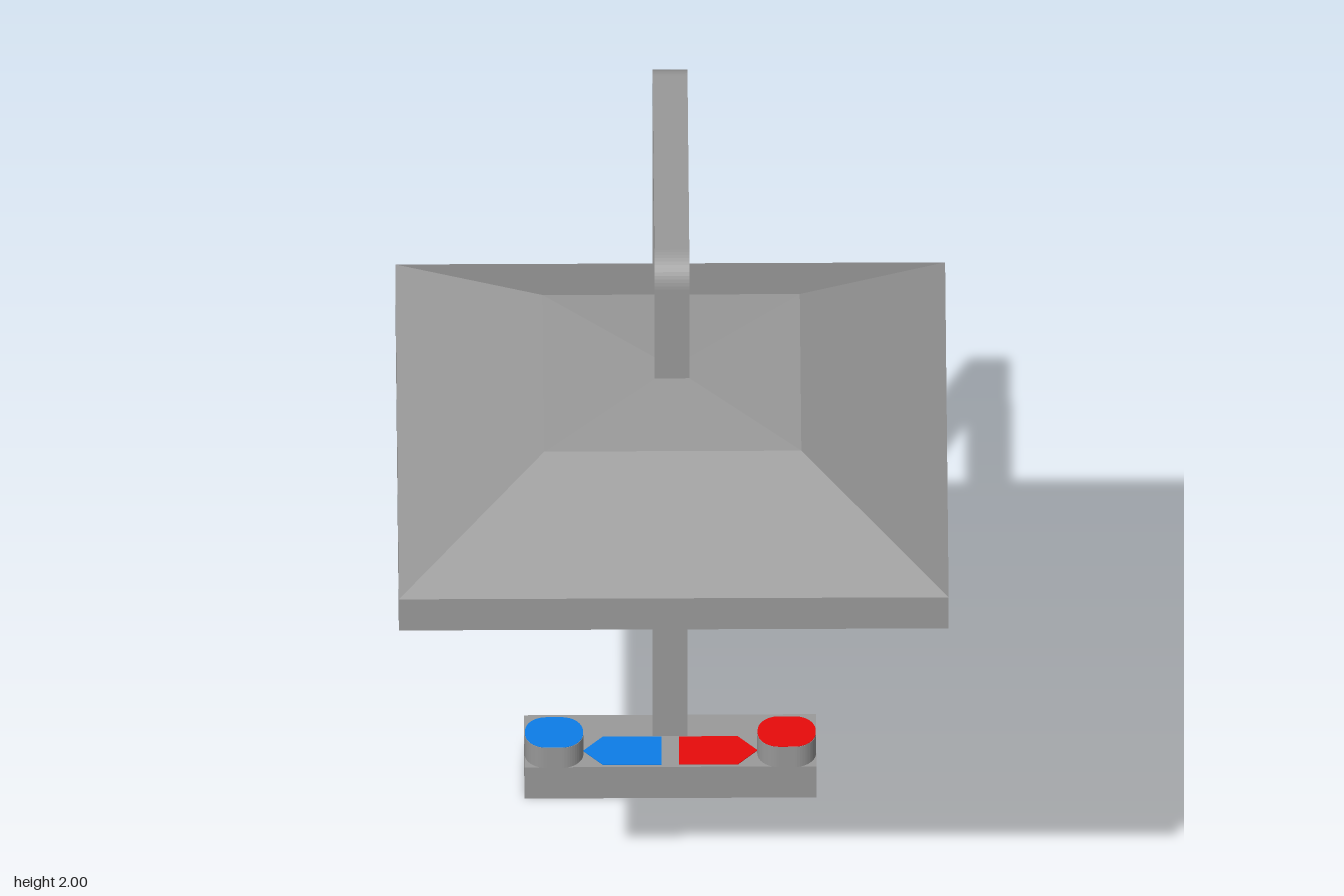
import * as THREE from 'three';

const grey = new THREE.MeshStandardMaterial({ color: 0x999999, flatShading: true });
const greyThin = new THREE.MeshStandardMaterial({ color: 0x999999, flatShading: true, side: THREE.DoubleSide });
const blue = new THREE.MeshStandardMaterial({ color: 0x0c7ce6, flatShading: true });
const red = new THREE.MeshStandardMaterial({ color: 0xe60a0a, flatShading: true });

function add(parent, name, geometry, material, x = 0, y = 0, z = 0) {
  const mesh = new THREE.Mesh(geometry, material);
  mesh.name = name;
  mesh.position.set(x, y, z);
  parent.add(mesh);
  return mesh;
}

// Four-sided frustum standing on y = 0, sized by its top and bottom half widths
function frustum(top, bottom, height, open = false) {
  return new THREE.CylinderGeometry(top * Math.SQRT2, bottom * Math.SQRT2, height, 4, 1, open)
    .rotateY(Math.PI / 4)
    .translate(0, height / 2, 0);
}

// Outline lying flat, raised along y
function slab(shape, height) {
  return new THREE.ExtrudeGeometry(shape, { depth: height, bevelEnabled: false, curveSegments: 6 })
    .rotateX(-Math.PI / 2);
}

function roundedRect(w, d, r) {
  const s = new THREE.Shape();
  s.absarc(w / 2 - r, d / 2 - r, r, 0, Math.PI / 2);
  s.absarc(-w / 2 + r, d / 2 - r, r, Math.PI / 2, Math.PI);
  s.absarc(-w / 2 + r, -d / 2 + r, r, Math.PI, Math.PI * 1.5);
  s.absarc(w / 2 - r, -d / 2 + r, r, Math.PI * 1.5, Math.PI * 2);
  s.closePath();
  return s;
}

// Square pipe: up the back, forward over the top, down into the head
function createPipe() {
  const s = new THREE.Shape();
  const r = 0.065;
  s.moveTo(-0.687, 0.05);
  s.lineTo(-0.61, 0.05);
  s.lineTo(-0.61, 1.935);
  s.lineTo(0.025, 1.935);
  s.lineTo(0.025, 1.66);
  s.lineTo(0.1, 1.66);
  s.absarc(0.1 - r, 2 - r, r, 0, Math.PI / 2);
  s.absarc(-0.687 + r, 2 - r, r, Math.PI / 2, Math.PI);
  s.closePath();
  return new THREE.ExtrudeGeometry(s, { depth: 0.08, bevelEnabled: false, curveSegments: 6 })
    .translate(0, 0, -0.04)
    .rotateY(-Math.PI / 2);
}

function createHead() {
  const head = new THREE.Group();
  head.name = 'showerHead';
  head.position.set(0, 1.405, 0.06);
  add(head, 'headRim', new THREE.BoxGeometry(1.262, 0.09, 1.262), grey, 0, 0.045, 0);
  add(head, 'headSlope', frustum(0.295, 0.631, 0.168), grey, 0, 0.09, 0);
  add(head, 'headCrown', frustum(0.02, 0.295, 0.016), grey, 0, 0.258, 0);

  // Grid of hollow nozzles, each with a coloured floor inside
  const cols = 7, rows = 8, px = 0.14, pz = 0.128, drop = 0.021;
  const nozzle = frustum(0.5, 0.3, drop, true).scale(px, 1, pz);
  const funnel = frustum(0.24, 0.3, drop - 0.002, true).scale(px, 1, pz);
  const floor = new THREE.PlaneGeometry(px * 0.48, pz * 0.48).rotateX(Math.PI / 2);
  for (let i = 0; i < cols; i++) {
    for (let j = 0; j < rows; j++) {
      const x = (i - (cols - 1) / 2) * px;
      const z = (j - (rows - 1) / 2) * pz;
      add(head, 'nozzle', nozzle, grey, x, -drop, z);
      add(head, 'nozzleFunnel', funnel, greyThin, x, -drop, z);
      add(head, 'nozzleFloor', floor, blue, x, -0.002, z);
    }
  }
  return head;
}

function createControls() {
  const controls = new THREE.Group();
  controls.name = 'controls';
  controls.position.set(0, 0.004, -0.596);
  controls.rotation.x = 0.04;
  add(controls, 'controlBar', new THREE.BoxGeometry(0.67, 0.093, 0.187), grey, 0, 0.0465, 0);

  const knob = slab(roundedRect(0.135, 0.11, 0.05), 0.06);
  const cap = slab(roundedRect(0.133, 0.108, 0.049), 0.001);
  for (const [side, material, label] of [[-1, blue, 'cold'], [1, red, 'hot']]) {
    add(controls, label + 'Knob', knob, grey, side * 0.267, 0.093, 0.041);
    add(controls, label + 'KnobCap', cap, material, side * 0.267, 0.153, 0.041);
    // Pointed marker beside the knob
    const points = [[0.02, -0.05], [0.155, -0.05], [0.2, 0], [0.155, 0.05], [0.02, 0.05]];
    const marker = new THREE.Shape(points.map(([x, y]) => new THREE.Vector2(side * x, y)));
    add(controls, label + 'Marker', slab(marker, 0.0015), material, 0, 0.093, 0.036);
  }
  return controls;
}

export function createModel() {
  const model = new THREE.Group();
  model.name = 'shower';
  add(model, 'pipe', createPipe(), grey);
  model.add(createHead(), createControls());
  return model;
}
